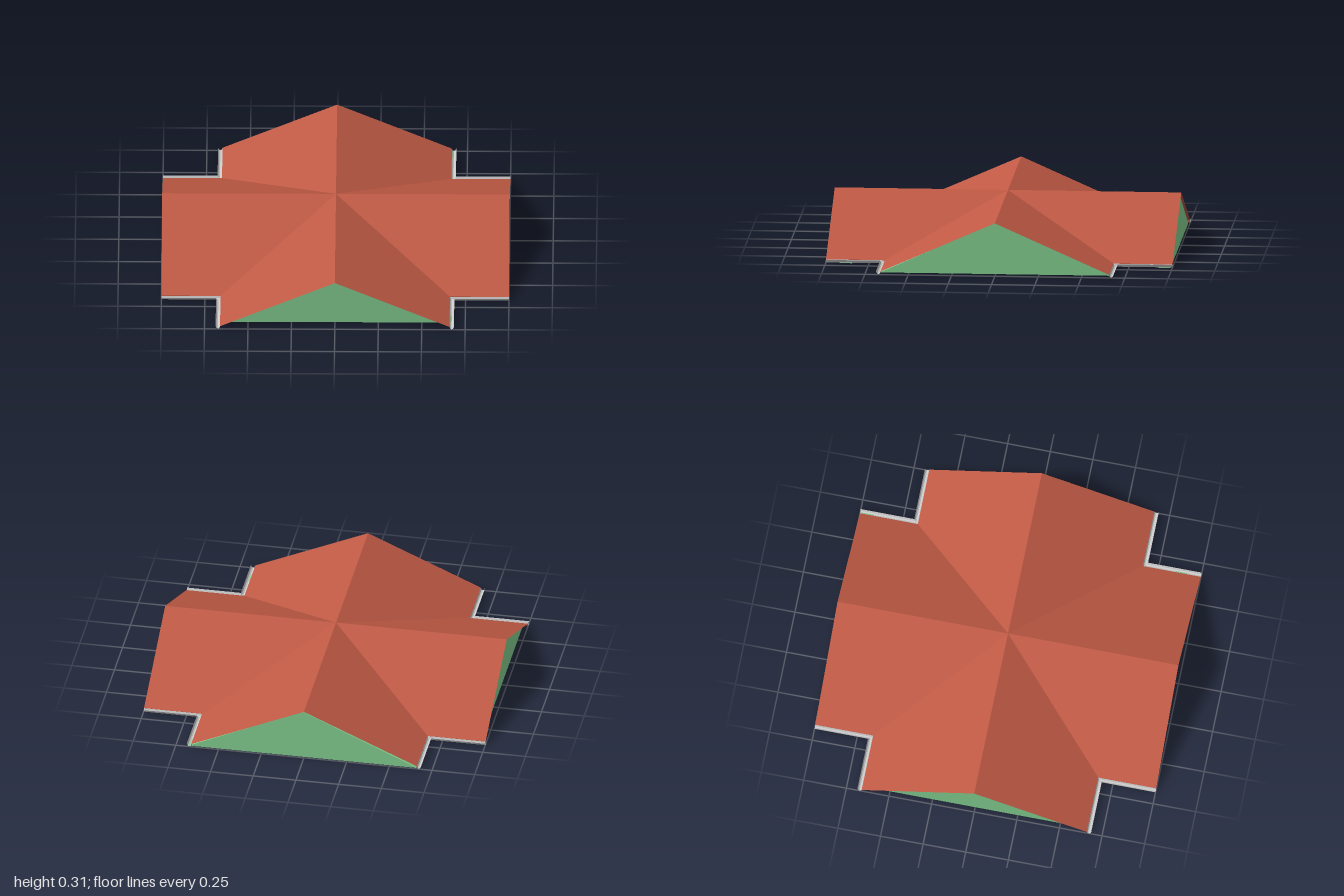
import * as THREE from 'three';

const RIDGE = 0.31, EAVE = 0.66, EAVE_Y = 0.018, END = 1;

// Flat-shaded, two-sided surface from quads (four corners each)
function quadMesh(name, quads, material) {
  const pos = [];
  for (const [a, b, c, d] of quads) pos.push(...a, ...b, ...c, ...a, ...c, ...d);
  const g = new THREE.BufferGeometry();
  g.setAttribute('position', new THREE.Float32BufferAttribute(pos, 3));
  g.computeVertexNormals();
  const m = new THREE.Mesh(g, material);
  m.name = name;
  return m;
}

export function createModel() {
  const model = new THREE.Group();
  model.name = 'crossGableRoof';
  const tile = new THREE.MeshStandardMaterial({ color: 0xc05a45, flatShading: true, side: THREE.DoubleSide });
  const wall = new THREE.MeshStandardMaterial({ color: 0x86d494, flatShading: true });
  const metal = new THREE.MeshStandardMaterial({ color: 0xcccccc, flatShading: true, side: THREE.DoubleSide });

  // Four wings, each with two slopes meeting its neighbours in the valleys
  for (let i = 0; i < 4; i++) {
    const wing = new THREE.Group();
    wing.name = 'roofWing';
    const slope = (s) => {
      const q = [[0, RIDGE, 0], [0, RIDGE, END], [s * EAVE, EAVE_Y, END], [s * EAVE, EAVE_Y, EAVE]];
      return s > 0 ? q : q.reverse();
    };
    wing.add(quadMesh('roofSlopes', [slope(1), slope(-1)], tile));

    // Narrow fascia below each eave
    const fascia = (s) => {
      const q = [[s * EAVE, EAVE_Y, EAVE], [s * EAVE, EAVE_Y, END], [s * EAVE, 0.004, END], [s * EAVE, 0.004, EAVE]];
      return s > 0 ? q : q.reverse();
    };
    wing.add(quadMesh('fascia', [fascia(1), fascia(-1)], tile));
    wing.rotation.y = i * Math.PI / 2;
    model.add(wing);

    // Open gutter channel, mitred round the inner corner
    const profile = [[0.66, 0.017], [0.665, 0.005], [0.672, 0.002], [0.68, 0.006], [0.686, 0.019]];
    const quads = [];
    for (let k = 0; k < profile.length - 1; k++) {
      const [r0, y0] = profile[k], [r1, y1] = profile[k + 1];
      quads.push([[r0, y0, r0], [r0, y0, END], [r1, y1, END], [r1, y1, r1]]);
      quads.push([[r1, y1, r1], [END, y1, r1], [END, y0, r0], [r0, y0, r0]]);
    }
    const gutter = quadMesh('gutter', quads, metal);
    gutter.rotation.y = i * Math.PI / 2;
    model.add(gutter);
  }

  // Thick triangular gable walls set in under the roof ends
  const triangle = new THREE.Shape([
    new THREE.Vector2(-0.667, 0), new THREE.Vector2(0.667, 0), new THREE.Vector2(0, 0.304)]);
  const gableGeo = new THREE.ExtrudeGeometry(triangle, { depth: 0.07, bevelEnabled: false });
  const gables = [
    ['frontGable', 0.01, 0.85, 0],
    ['backGable', 0.01, -0.99, 0],
    ['leftGable', 0.865, 0, Math.PI / 2],
    ['rightGable', -0.97, 0, Math.PI / 2],
  ];
  for (const [name, x, z, turn] of gables) {
    const gable = new THREE.Mesh(gableGeo, wall);
    gable.name = name;
    gable.position.set(x, 0, z);
    gable.rotation.y = turn;
    model.add(gable);
  }
  return model;
}
